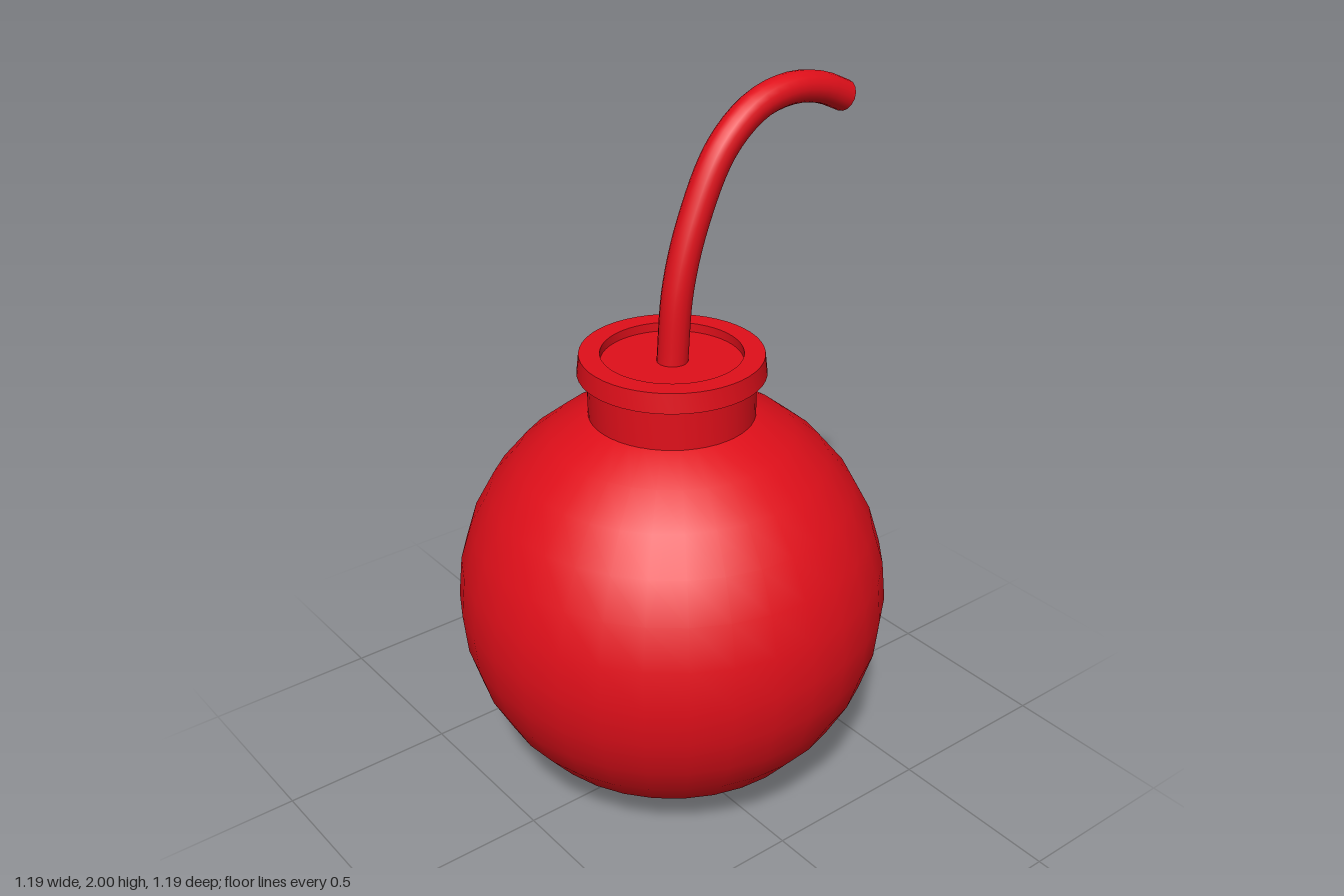
import * as THREE from 'three';
import { toCreasedNormals } from 'three/addons/utils/BufferGeometryUtils.js';

export function createModel() {
  const model = new THREE.Group();
  const red = new THREE.MeshStandardMaterial({ color: 0xe00f1a });
  const add = (name, geometry, parent = model) => {
    const mesh = new THREE.Mesh(geometry, red);
    mesh.name = name;
    parent.add(mesh);
    return mesh;
  };

  // Round body
  add('body', new THREE.SphereGeometry(0.597, 32, 16)).position.y = 0.6;

  // Neck with a slightly tapered, overhanging rim and a shallow recessed top
  const profile = [
    [0.225, 1.13], [0.225, 1.27], [0.252, 1.27], [0.246, 1.325],
    [0.19, 1.325], [0.19, 1.3], [0, 1.3],
  ].map(([r, y]) => new THREE.Vector2(r, y));
  add('neck', toCreasedNormals(new THREE.LatheGeometry(profile, 48), 0.6));

  // Curved fuse rising from the recess and bending to the model's left
  const path = new THREE.CatmullRomCurve3([
    [0, 1.28], [0.02, 1.5], [0.073, 1.68], [0.16, 1.845],
    [0.27, 1.933], [0.385, 1.958], [0.49, 1.943], [0.577, 1.905],
  ].map(([x, y]) => new THREE.Vector3(x, y, 0)));
  const fuse = new THREE.Group();
  fuse.name = 'fuse';
  model.add(fuse);
  add('fuseCord', new THREE.TubeGeometry(path, 32, 0.042, 16), fuse);

  // Flat end of the fuse
  const tip = add('fuseTip', new THREE.CircleGeometry(0.042, 16), fuse);
  tip.position.copy(path.getPoint(1));
  tip.quaternion.setFromUnitVectors(new THREE.Vector3(0, 0, 1), path.getTangent(1));

  return model;
}
